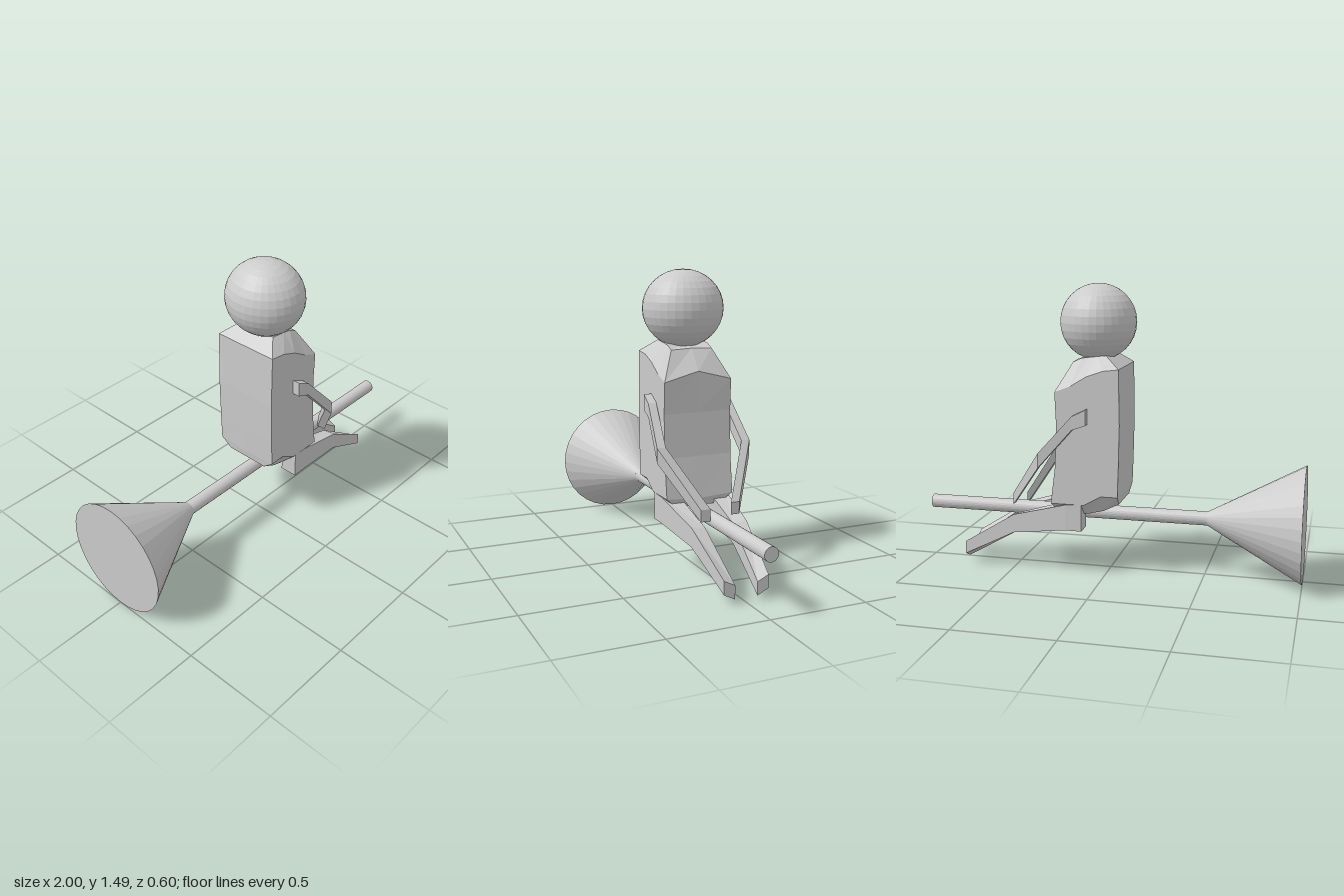
import * as THREE from 'three';

const material = new THREE.MeshStandardMaterial({ color: 0xcccccc, flatShading: true });

function part(name, geometry, parent) {
  const mesh = new THREE.Mesh(geometry, material);
  mesh.name = name;
  parent.add(mesh);
  return mesh;
}

// Skin a list of closed rings (equal point counts) and close both ends with fans.
function loft(rings, flip = false) {
  const n = rings[0].length;
  const pos = rings.flat(2);
  const index = [];
  const tri = (a, b, c) => (flip ? index.push(a, c, b) : index.push(a, b, c));
  for (let r = 0; r < rings.length - 1; r++) {
    for (let i = 0; i < n; i++) {
      const j = (i + 1) % n;
      const a = r * n + i, b = r * n + j;
      tri(a, b, b + n);
      tri(a, b + n, a + n);
    }
  }
  [0, rings.length - 1].forEach((r, end) => {
    const centre = pos.length / 3;
    for (let k = 0; k < 3; k++) pos.push(rings[r].reduce((s, p) => s + p[k], 0) / n);
    for (let i = 0; i < n; i++) {
      const a = r * n + i, b = r * n + ((i + 1) % n);
      if (end) tri(centre, a, b);
      else tri(centre, b, a);
    }
  });
  const geometry = new THREE.BufferGeometry();
  geometry.setAttribute('position', new THREE.Float32BufferAttribute(pos, 3));
  geometry.setIndex(index);
  geometry.computeVertexNormals();
  return geometry;
}

// Torso ring: heights along each flank from back to chest, plus the two mid-line heights.
function torsoRing(xBack, xFront, z, heights, yFront, yBack) {
  const flank = (s) => heights.map((y, i) => [THREE.MathUtils.lerp(xBack, xFront, i / 4), y, s * z]);
  return [...flank(1), [xFront, yFront, 0], ...flank(-1).reverse(), [xBack, yBack, 0]];
}

// Limb through upright slices [x, top, bottom, inner z, outer z, outer lift].
function limb(slices, side) {
  const rings = slices.map(([x, top, bottom, zi, zo, lift = 0]) => [
    [x, bottom, side * zi],
    [x, bottom + lift, side * zo],
    [x, top, side * zo],
    [x, top - lift, side * zi],
  ]);
  return loft(rings, side > 0);
}

export function createModel() {
  const model = new THREE.Group();
  model.name = 'broomRider';

  // Broom lying along x
  const broom = new THREE.Group();
  broom.name = 'broom';
  model.add(broom);
  const handle = part('handle', new THREE.CylinderGeometry(0.036, 0.036, 1.52, 24), broom);
  handle.rotation.z = -Math.PI / 2;
  handle.position.set(0.24, 0.302, 0);
  const bristles = part('bristles', new THREE.CylinderGeometry(0.036, 0.3, 0.49, 32), broom);
  bristles.rotation.z = -Math.PI / 2;
  bristles.position.set(-0.755, 0.302, 0);

  // Rider's head
  const head = part('head', new THREE.SphereGeometry(0.195, 32, 16), model);
  head.scale.z = 1.06;
  head.position.set(0.065, 1.3, 0);

  // Blocky torso with sloping shoulders and a tucked underside
  part('torso', loft([
    torsoRing(-0.07, 0.26, 0.12, [0.38, 0.34, 0.32, 0.32, 0.33], 0.33, 0.38),
    torsoRing(-0.075, 0.275, 0.18, [0.43, 0.43, 0.38, 0.38, 0.38], 0.37, 0.42),
    torsoRing(-0.08, 0.25, 0.18, [0.58, 0.58, 0.58, 0.58, 0.58], 0.58, 0.58),
    torsoRing(-0.085, 0.243, 0.18, [0.8, 0.8, 0.8, 0.8, 0.8], 0.8, 0.8),
    torsoRing(-0.08, 0.25, 0.18, [1.08, 1.07, 1.04, 0.99, 0.958], 1.005, 1.08),
    torsoRing(0, 0.17, 0.11, [1.14, 1.135, 1.13, 1.125, 1.105], 1.11, 1.14),
  ]), model);

  // Arms reaching to the handle, one hand further forward; legs trailing along it
  for (const side of [1, -1]) {
    const label = side > 0 ? 'front' : 'rear';
    const hand = side > 0 ? [0.475, 0.37, 0.31, 0.04, 0.09] : [0.505, 0.4, 0.34, 0.055, 0.1];
    part(label + 'Arm', limb([
      [0.08, 0.88, 0.8, 0.178, 0.22],
      [0.15, 0.845, 0.775, 0.182, 0.225],
      [0.32, 0.655, 0.58, 0.205, 0.25],
      hand,
    ], side), model);
    part(label + 'Leg', limb([
      [0.115, 0.38, 0.24, 0.085, 0.18],
      [0.2, 0.375, 0.24, 0.085, 0.178],
      [0.49, 0.297, 0.19, 0.075, 0.148, 0.01],
      [0.775, 0.12, 0.025, 0.058, 0.115, 0.028],
    ], side), model);
  }
  return model;
}
